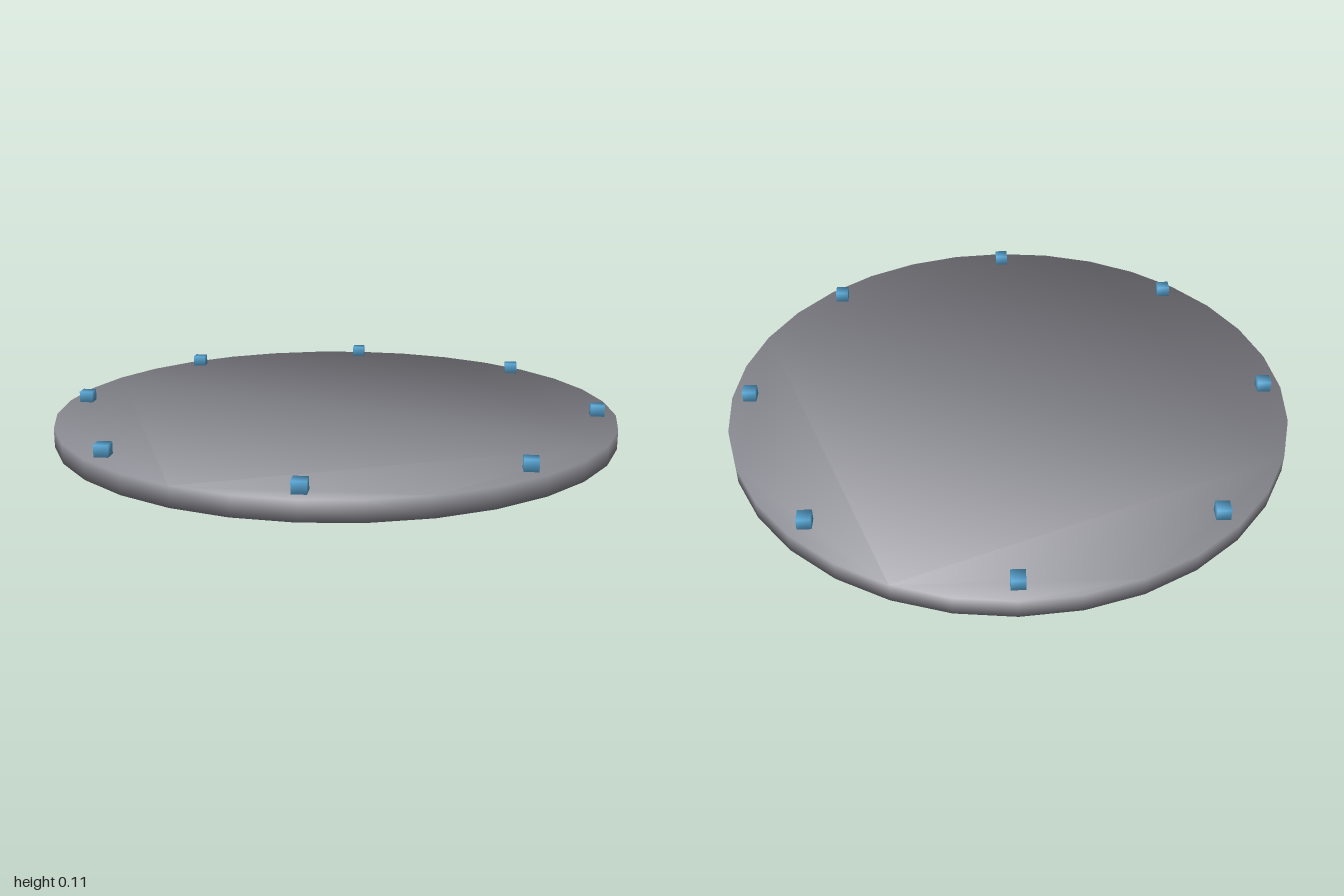
import * as THREE from 'three';

const SIDES = 32;
const DISC_HEIGHT = 0.067;
const STUD = 0.047;
const STUD_RING = 0.933;

// Softly shaded edges: every corner normal leans out as much as up or down
function softenNormals(geometry, rule) {
  const p = geometry.attributes.position;
  const n = geometry.attributes.normal;
  const v = new THREE.Vector3();
  for (let i = 0; i < p.count; i++) {
    rule(v.fromBufferAttribute(p, i)).normalize();
    n.setXYZ(i, v.x, v.y, v.z);
  }
  return geometry;
}

export function createModel() {
  const grey = new THREE.MeshStandardMaterial({ color: 0x8c8c94 });
  grey.name = 'metal grey';
  const blue = new THREE.MeshStandardMaterial({ color: 0x5aa9d8 });
  blue.name = 'light blue';

  const model = new THREE.Group();
  model.name = 'platform';

  // Flat 32-sided disc
  const outline = [];
  for (let i = 0; i < SIDES; i++) {
    const a = (i / SIDES) * Math.PI * 2;
    outline.push(new THREE.Vector2(Math.cos(a), Math.sin(a)));
  }
  const discGeometry = new THREE.ExtrudeGeometry(new THREE.Shape(outline), {
    depth: DISC_HEIGHT, bevelEnabled: false,
  });
  discGeometry.rotateX(-Math.PI / 2);
  softenNormals(discGeometry, (v) => v.setY(v.y > DISC_HEIGHT / 2 ? 1 : -1));
  const disc = new THREE.Mesh(discGeometry, grey);
  disc.name = 'disc';
  model.add(disc);

  // Ring of eight small lights, slightly sunk into the disc
  const lights = new THREE.Group();
  lights.name = 'rimLights';
  const lightGeometry = softenNormals(new THREE.BoxGeometry(STUD, STUD, STUD), (v) => v);
  for (let i = 0; i < 8; i++) {
    const a = (i / 8) * Math.PI * 2;
    const light = new THREE.Mesh(lightGeometry, blue);
    light.name = 'rimLight';
    light.position.set(Math.cos(a) * STUD_RING, 0.083, Math.sin(a) * STUD_RING);
    lights.add(light);
  }
  model.add(lights);

  return model;
}
